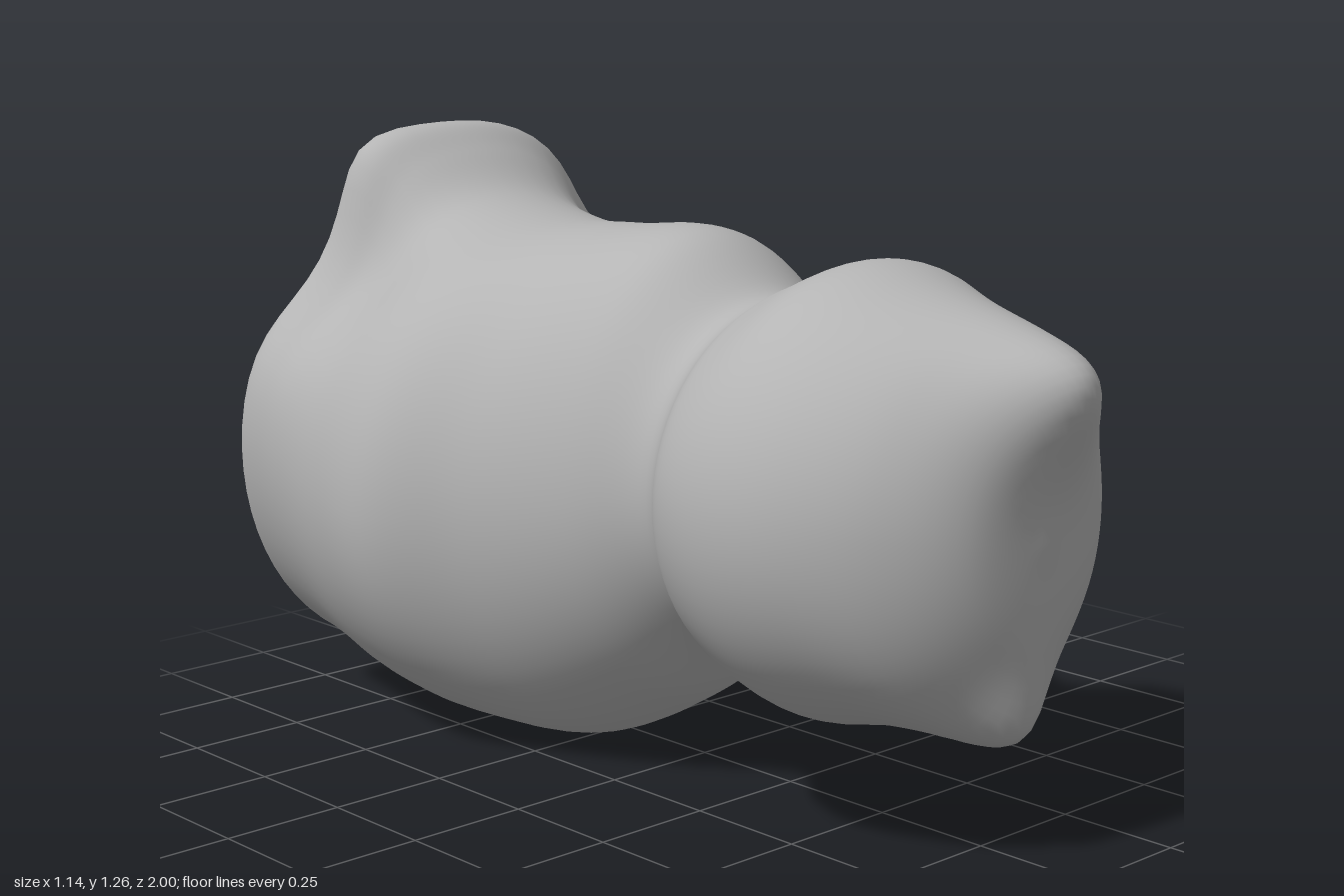
import * as THREE from 'three';
import { mergeVertices } from 'three/addons/utils/BufferGeometryUtils.js';

// Cross-sections from front to back: z, xMin, xMax, yMin, yMax, height of widest point
const SECTIONS = [
  // rounded head
  [0.925, -0.04, -0.04, 0.62, 0.62, 0.62],
  [0.90, -0.23, 0.13, 0.41, 0.86, 0.64],
  [0.80, -0.37, 0.235, 0.27, 0.98, 0.65],
  [0.65, -0.465, 0.325, 0.235, 1.05, 0.65],
  [0.50, -0.495, 0.405, 0.205, 1.08, 0.65],
  [0.36, -0.465, 0.395, 0.24, 1.03, 0.65],
  // neck
  [0.23, -0.37, 0.285, 0.285, 0.985, 0.63],
  // swelling body
  [0.05, -0.415, 0.335, 0.14, 1.095, 0.60],
  [-0.20, -0.48, 0.41, 0.01, 1.085, 0.55],
  [-0.40, -0.57, 0.495, 0, 1.08, 0.52],
  [-0.60, -0.555, 0.505, 0, 1.12, 0.55],
  // flared foot
  [-0.75, -0.535, 0.54, 0.025, 1.20, 0.60],
  [-0.84, -0.53, 0.565, 0.04, 1.25, 0.63],
  [-0.90, -0.515, 0.545, 0.05, 1.25, 0.63],
  [-0.925, -0.48, 0.50, 0.085, 1.215, 0.63],
];
const RIM = SECTIONS.length - 1;

// Soft local pushes: centre, push, radius
const BUMPS = [
  { at: [-0.04, 0.89, 0.87], push: [0, 0.03, 0.115], r: 0.10 },   // upper point
  { at: [-0.04, 0.28, 0.83], push: [0, -0.05, 0.05], r: 0.075 },  // lower point
  { at: [0.33, 0.82, 0.62], push: [-0.035, -0.02, 0], r: 0.13 },  // cheek hollow
  { at: [0.32, 0.38, 0.48], push: [-0.03, 0.025, 0], r: 0.12 },   // lower cheek hollow
  { at: [0.50, 0.82, -0.62], push: [-0.06, -0.02, 0], r: 0.12 },  // side hollow
  { at: [0.38, 1.02, -0.72], push: [-0.05, -0.05, 0], r: 0.12 },  // notch beside the top lobe
  { at: [-0.42, 1.02, -0.75], push: [0.08, -0.07, 0], r: 0.14 },  // opposite notch
  { at: [-0.19, 1.20, -0.82], push: [-0.04, 0.025, 0], r: 0.09 }, // corner of the top lobe
  { at: [0.48, 0.88, -0.84], push: [0.035, 0.025, 0], r: 0.10 },  // side lobe of the foot
];

function sculpt(p) {
  const start = p.clone();
  for (const { at, push, r } of BUMPS) {
    const d = start.distanceTo(new THREE.Vector3(...at));
    p.addScaledVector(new THREE.Vector3(...push), Math.exp(-(d * d) / (2 * r * r)));
  }
  return p;
}

// The flat end: the rim section shrunk towards its centre
function endSection(scale) {
  const [z, x0, x1, y0, y1, cy] = SECTIONS[RIM];
  const cx = (x0 + x1) / 2;
  const shrink = (v, c) => c + (v - c) * scale;
  return [z, shrink(x0, cx), shrink(x1, cx), shrink(y0, cy), shrink(y1, cy), cy];
}

function bodyGeometry(steps = 8, sides = 72) {
  const sections = [...SECTIONS, ...[0.82, 0.55, 0.28, 0].map(endSection)];
  const curve = new THREE.CubicInterpolant(sections.map((_, i) => i), sections.flat(), 6);
  const rings = (sections.length - 1) * steps;
  const positions = [], index = [];
  for (let i = 0; i <= rings; i++) {
    const t = i / steps;
    const [z, x0, x1, y0, y1, cy] = curve.evaluate(t);
    // the foot leans back, with gentle ripples across its flat end
    const tilt = 0.13 * THREE.MathUtils.smoothstep(-z, 0.5, 0.9);
    const ripple = 0.004 * THREE.MathUtils.smoothstep(t, RIM - 0.5, RIM + 1);
    for (let j = 0; j < sides; j++) {
      const a = (j / sides) * Math.PI * 2, s = Math.sin(a);
      const x = (x0 + x1) / 2 + ((x1 - x0) / 2) * Math.cos(a);
      const y = cy + (s > 0 ? y1 - cy : cy - y0) * s;
      const wave = ripple * Math.sin((y + 0.03 * Math.cos(x * 9)) * 31);
      positions.push(...sculpt(new THREE.Vector3(x, y, z + tilt * (y - 0.6) + wave)));
      if (i < rings) {
        const b = i * sides + j, n = i * sides + ((j + 1) % sides);
        index.push(b, b + sides, n + sides, b, n + sides, n);
      }
    }
  }
  const geometry = new THREE.BufferGeometry();
  geometry.setAttribute('position', new THREE.Float32BufferAttribute(positions, 3));
  geometry.setIndex(index);
  const smooth = mergeVertices(geometry, 1e-5);
  smooth.computeVertexNormals();
  return smooth;
}

export function createModel() {
  const grey = new THREE.MeshStandardMaterial({ color: 0xb4b4b4 });
  grey.name = 'clay grey';
  const body = new THREE.Mesh(bodyGeometry(), grey);
  body.name = 'body';
  const model = new THREE.Group();
  model.name = 'clayFigure';
  model.add(body);
  return model;
}
